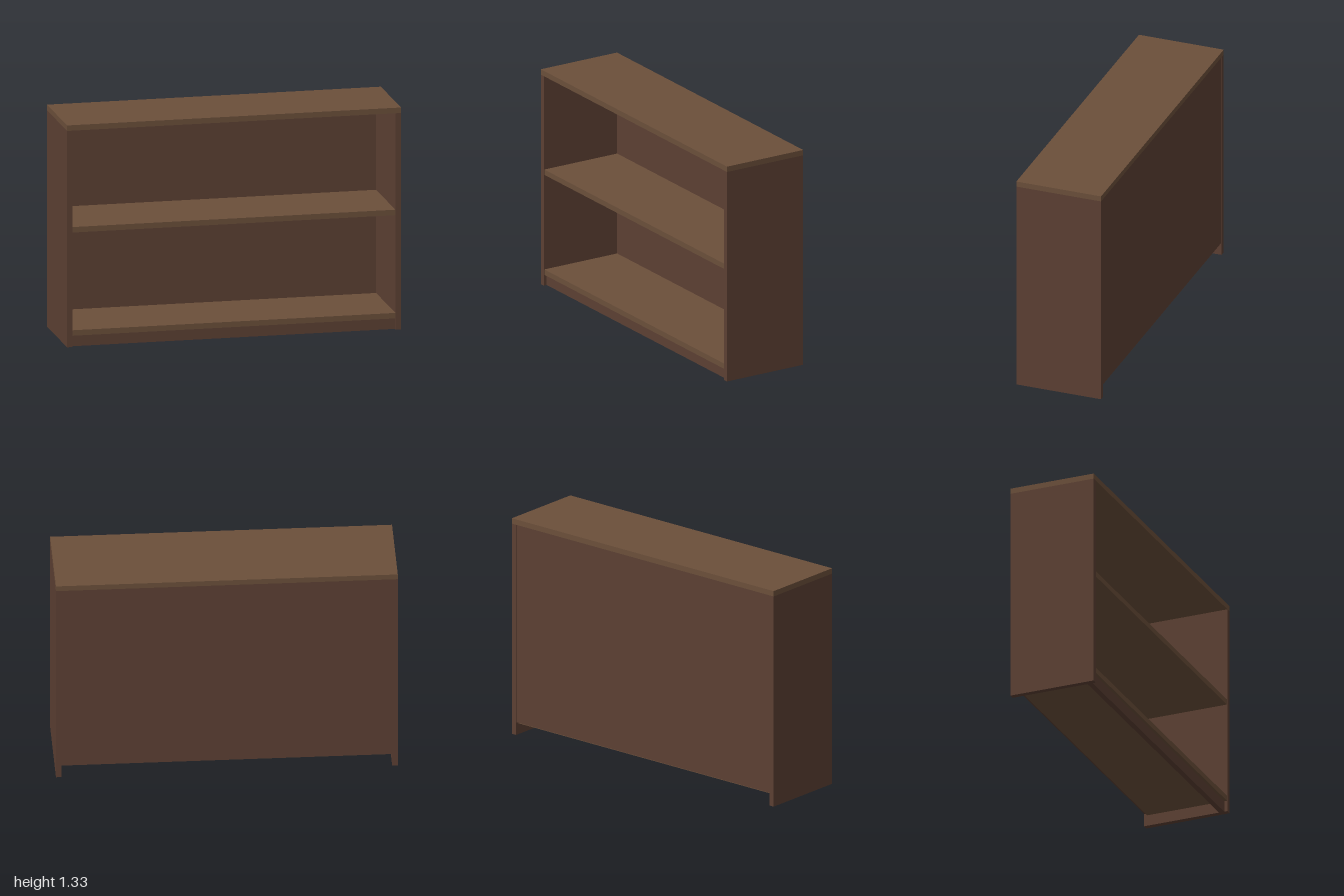
import * as THREE from 'three';

const W = 2, H = 1.333, D = 0.53, T = 0.033; // overall size and board thickness
const BACK = 0.02; // back panel thickness

export function createModel() {
  const group = new THREE.Group();
  const darkWood = new THREE.MeshStandardMaterial({ color: 0x5c4033 });
  const lightWood = new THREE.MeshStandardMaterial({ color: 0x6b4f3a });

  // a board given by its lower and upper limits on each axis
  const board = (name, material, [x0, x1], [y0, y1], [z0, z1]) => {
    const mesh = new THREE.Mesh(new THREE.BoxGeometry(x1 - x0, y1 - y0, z1 - z0), material);
    mesh.position.set((x0 + x1) / 2, (y0 + y1) / 2, (z0 + z1) / 2);
    mesh.name = name;
    group.add(mesh);
  };

  const inner = [-W / 2 + T, W / 2 - T];
  const front = D / 2, back = -D / 2;

  // sides carry the full-width top
  board('leftSide', darkWood, [W / 2 - T, W / 2], [0, H - T], [back, front]);
  board('rightSide', darkWood, [-W / 2, -W / 2 + T], [0, H - T], [back, front]);
  board('top', lightWood, [-W / 2, W / 2], [H - T, H], [back, front]);

  // shelves stop at the back panel
  const shelfDepth = [back + BACK, front - 0.003];
  board('bottomShelf', lightWood, inner, [0.067, 0.1], shelfDepth);
  board('middleShelf', lightWood, inner, [0.687, 0.72], shelfDepth);

  // back panel and recessed kick board
  board('backPanel', darkWood, inner, [0.078, H - T], [back + 0.003, back + BACK]);
  board('kickBoard', darkWood, inner, [0, 0.067], [front - 0.02 - T, front - 0.02]);

  return group;
}
